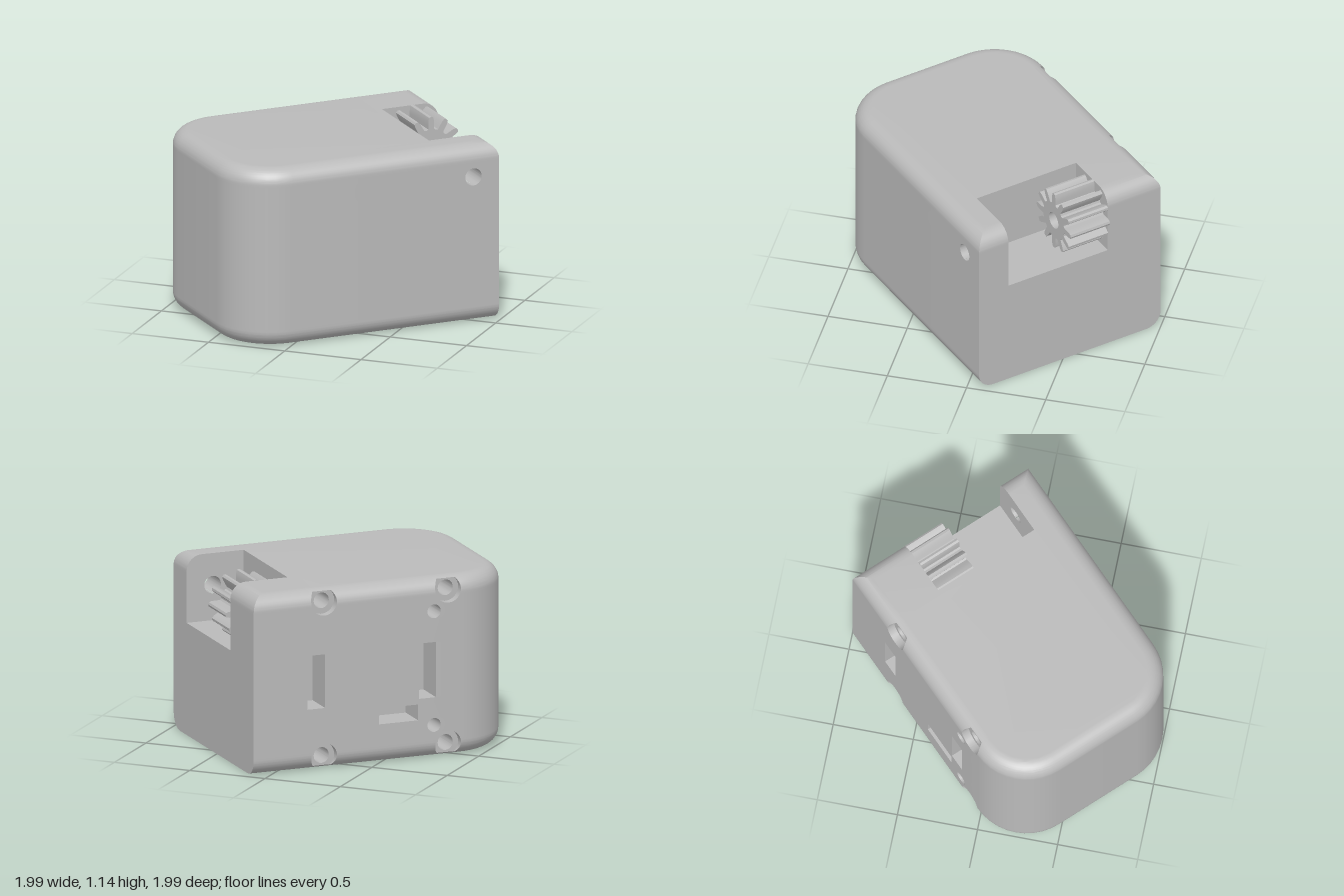
import * as THREE from 'three';
import { toCreasedNormals } from 'three/addons/utils/BufferGeometryUtils.js';

// Housing dimensions: local x runs to the flat end, local z across, y up
const H = 1.135, HALF = 0.647, END = 0.757, FILLET = 0.1;
const ARC = { x: -0.62, z: 0.287, r: 0.36 };
const SLOT = { x: 0.38, z0: -0.27, z1: 0.438, floor: 0.71 };
const AXLE = { x: 0.585, y: 0.935 };
const EPS = 1e-4;

// Openings in the side walls; each step is a recess nested in the one before
const round = (x, y, ...steps) => ({ x, y, steps: steps.map(([r, depth]) => ({ r, h: r, depth })) });
const rect = (x0, x1, y0, y1, depth) =>
  ({ x: (x0 + x1) / 2, y: (y0 + y1) / 2, steps: [{ w: (x1 - x0) / 2, h: (y1 - y0) / 2, depth }] });
const screw = (x, y) => round(x, y, [0.085, 0.05], [0.05, 0.3]);
const mountColumns = [
  [screw(0.29, 0.08), rect(0.285, 0.4, 0.39, 0.73, 0.2), screw(0.29, 1.06)],
  [rect(-0.33, -0.07, 0.25, 0.35, 0.2)],
  [screw(-0.53, 0.08), round(-0.436, 0.21, [0.044, 0.2]), rect(-0.448, -0.336, 0.385, 0.735, 0.2),
    round(-0.436, 0.93, [0.044, 0.2]), screw(-0.53, 1.06)],
];
const axleHole = round(AXLE.x, AXLE.y, [0.055, HALF - SLOT.z1]);

function halfWidth(step, dy) {
  if (Math.abs(dy) >= step.h) return 0;
  return step.r ? Math.sqrt(step.r ** 2 - dy * dy) : step.w;
}

// How far the fillet pulls the wall in at height y
function inset(y) {
  const d = FILLET - Math.min(y, H - y);
  return d > 0 ? FILLET - Math.sqrt(Math.max(0, FILLET ** 2 - d * d)) : 0;
}

// Outline of one wall column at height y, stepping into the nearest opening
function notch(column, side, y, open) {
  const gap = (f) => Math.abs(y - f.y) - f.steps[0].h;
  const f = column.reduce((a, b) => (gap(b) < gap(a) ? b : a));
  const left = [], right = [];
  let z = HALF - inset(y);
  for (let i = 0; i < 2; i++) {
    const step = f.steps[i];
    const w = step ? halfWidth(step, y - f.y) : 0;
    const deep = w > 0 ? Math.min(z, HALF - step.depth) : z;
    left.push([f.x - side * w, side * z], [f.x - side * w, side * deep]);
    right.unshift([f.x + side * w, side * deep], [f.x + side * w, side * z]);
    z = deep;
    if (open && i === 0) left[1].open = true;
  }
  if (open) left.slice(1).forEach((p) => { p.open = true; });
  if (open) right[0].open = true;
  return [...left, ...right];
}

// Full plan outline at height y, counter-clockwise from above
function outline(y) {
  const d = inset(y), z = HALF - d;
  const end = END - (y > H / 2 ? d : 0);
  const inSlot = y > SLOT.floor;
  const back = inSlot ? SLOT.x : end;
  const pts = [[end, -z]];
  mountColumns.forEach((c) => pts.push(...notch(c, -1, y, false)));
  for (const s of [-1, 1]) {
    for (let k = 0; k <= 10; k++) {
      const a = (k / 10) * Math.PI / 2 + (s < 0 ? 0 : Math.PI / 2);
      pts.push([ARC.x - Math.sin(a) * (ARC.r - d), s * ARC.z - Math.cos(a) * (ARC.r - d)]);
    }
  }
  pts.push(...notch([axleHole], 1, y, true), [end, z], [end, SLOT.z1]);
  // slot walls, with the axle hole in the near one
  const w = halfWidth(axleHole.steps[0], y - AXLE.y);
  const hx = inSlot ? AXLE.x : end;
  const rim = [hx + w, SLOT.z1];
  rim.open = true;
  pts.push(rim, [hx - w, SLOT.z1], [back, SLOT.z1], [back, SLOT.z0], [end, SLOT.z0]);
  return pts;
}

function layerHeights() {
  const ys = [SLOT.floor - EPS, SLOT.floor + EPS];
  for (let k = 0; k <= 8; k++) {
    const y = FILLET * (1 - Math.cos((k / 8) * Math.PI / 2));
    // spaced so the fillet turns in equal angles
    const t = FILLET * (1 - Math.sin((k / 8) * Math.PI / 2));
    ys.push(t, H - t);
    if (k === 0) ys.push(y, H - y);
  }
  for (const f of [...mountColumns.flat(), axleHole]) {
    for (const s of f.steps) {
      for (const e of [-EPS, EPS]) ys.push(f.y - s.h + e, f.y + s.h + e);
      if (s.r) for (let k = 1; k < 12; k++) ys.push(f.y + s.r * Math.cos(k * Math.PI / 12));
    }
  }
  return ys.filter((y) => y >= 0 && y <= H).sort((a, b) => a - b)
    .filter((y, i, all) => i === 0 || y - all[i - 1] > 1e-6);
}

function housingGeometry() {
  const pos = [];
  const A = new THREE.Vector3(), B = new THREE.Vector3();
  const tri = (a, b, c) => {
    A.subVectors(b, a);
    B.subVectors(c, a);
    if (A.cross(B).length() > 1e-9) for (const p of [a, b, c]) pos.push(p.x, p.y, p.z);
  };
  const ys = layerHeights();
  const rings = ys.map((y) => outline(y).map((p) =>
    Object.assign(new THREE.Vector3(p[0], y, p[1]), { open: p.open })));
  // walls
  for (let j = 0; j + 1 < rings.length; j++) {
    const lo = rings[j], hi = rings[j + 1], n = lo.length;
    for (let i = 0; i < n; i++) {
      if (lo[i].open) continue;
      const k = (i + 1) % n;
      tri(lo[i], lo[k], hi[k]);
      tri(lo[i], hi[k], hi[i]);
    }
  }
  // bottom and top
  for (const [ring, up] of [[rings[0], false], [rings[rings.length - 1], true]]) {
    const clean = ring.filter((p, i) => p.distanceTo(ring[(i + 1) % ring.length]) > 1e-6);
    const flat = clean.map((p) => new THREE.Vector2(p.x, -p.z));
    for (const [a, b, c] of THREE.ShapeUtils.triangulateShape(flat, [])) {
      if (up) tri(clean[a], clean[b], clean[c]);
      else tri(clean[a], clean[c], clean[b]);
    }
  }
  const g = new THREE.BufferGeometry();
  g.setAttribute('position', new THREE.Float32BufferAttribute(pos, 3));
  return toCreasedNormals(g, 0.5);
}

// Spur gear with tapered, rounded teeth and a bore
function gearGeometry(teeth = 12) {
  const profile = [[-0.5, 0.122], [-0.3, 0.128], [-0.25, 0.15], [-0.2, 0.18], [-0.13, 0.2],
    [0, 0.205], [0.13, 0.2], [0.2, 0.18], [0.25, 0.15], [0.3, 0.128]];
  const pts = [];
  for (let t = 0; t < teeth; t++) {
    for (const [f, r] of profile) {
      const a = Math.PI / 2 + ((t + f) / teeth) * Math.PI * 2;
      pts.push(new THREE.Vector2(Math.cos(a) * r, Math.sin(a) * r));
    }
  }
  const shape = new THREE.Shape(pts);
  shape.holes.push(new THREE.Path().absarc(0, 0, 0.055, 0, Math.PI * 2, true));
  const g = new THREE.ExtrudeGeometry(shape, { depth: 0.28, bevelEnabled: false, curveSegments: 16 });
  return toCreasedNormals(g, 0.6);
}

export function createModel() {
  const grey = new THREE.MeshStandardMaterial({ color: 0xbababa });
  grey.name = 'plain grey';
  const model = new THREE.Group();
  model.name = 'gearedActuator';

  const housing = new THREE.Mesh(housingGeometry(), grey);
  housing.name = 'housing';
  const gear = new THREE.Mesh(gearGeometry(), grey);
  gear.name = 'gear';
  gear.position.set(AXLE.x, AXLE.y, SLOT.z0 + 0.002);

  // the unit sits diagonally
  const unit = new THREE.Group();
  unit.name = 'unit';
  unit.rotation.y = Math.PI / 4;
  unit.add(housing, gear);
  model.add(unit);
  return model;
}
